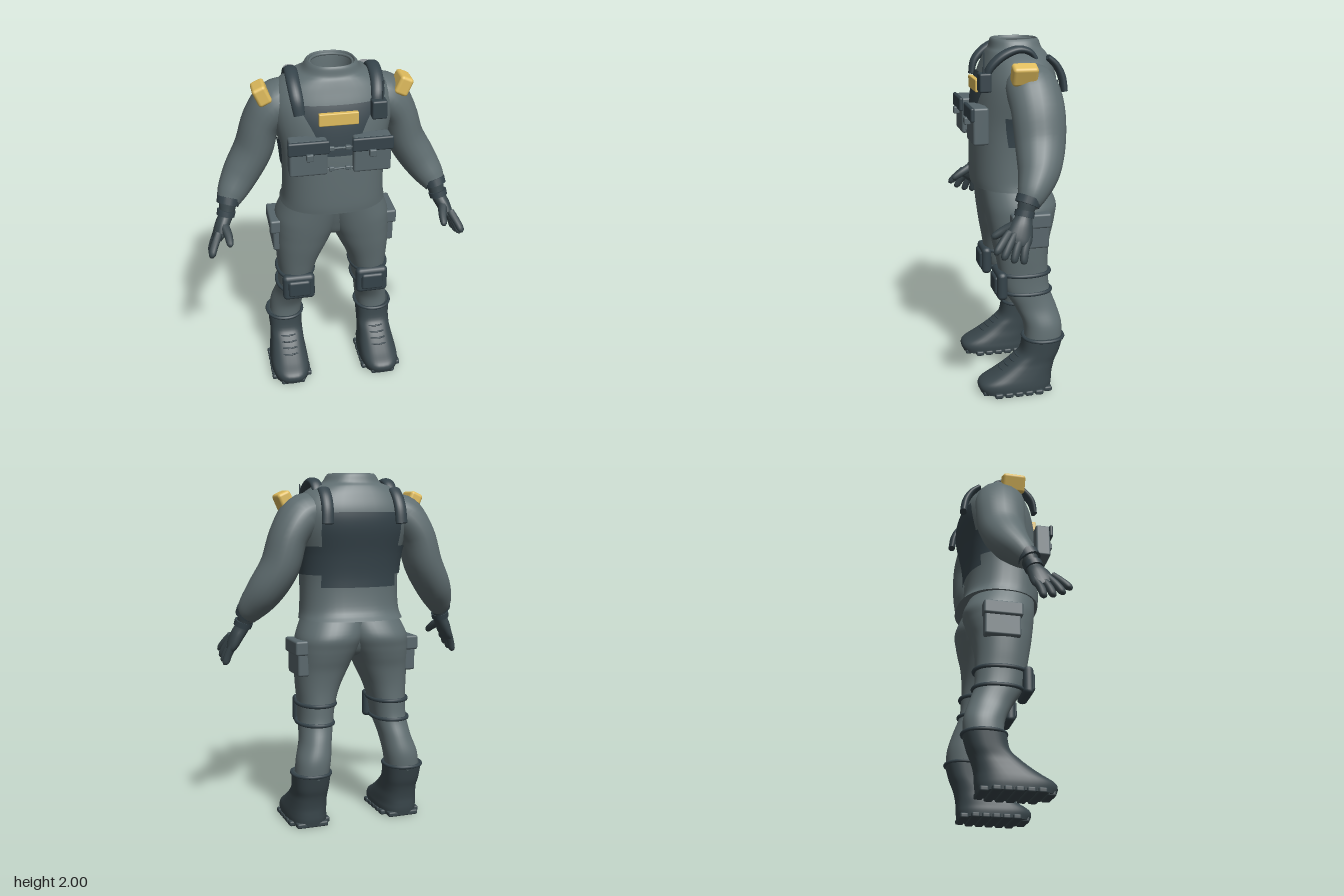
import * as THREE from 'three';
import { RoundedBoxGeometry } from 'three/addons/geometries/RoundedBoxGeometry.js';

const V = (x, y, z) => new THREE.Vector3(x, y, z);
const mat = (name, color) => Object.assign(new THREE.MeshStandardMaterial({ color }), { name });

// Skin a list of rings (arrays of Vector3); capped ends get their own vertices for a crisp edge
function skin(rings, closed = true, caps = true) {
  if (caps) {
    const mid = r => r.map(() => r.reduce((s, p) => s.add(p), V(0, 0, 0)).divideScalar(r.length));
    const a = rings[0], b = rings[rings.length - 1];
    rings = [mid(a), a, ...rings, b, mid(b)];
  }
  const n = rings[0].length, idx = [];
  for (let i = 0; i < rings.length - 1; i++) {
    for (let j = 0; j < (closed ? n : n - 1); j++) {
      const k = (j + 1) % n, a = i * n + j, b = i * n + k, c = a + n, d = b + n;
      idx.push(a, c, b, b, c, d);
    }
  }
  const g = new THREE.BufferGeometry().setFromPoints(rings.flat());
  g.setIndex(idx);
  g.computeVertexNormals();
  return g;
}

// Smoothly interpolate a table of rows at position u
function rowAt(rows, u) {
  const last = rows.length - 1, i = Math.min(Math.floor(u), last - 1), t = u - i;
  const r = k => rows[Math.max(0, Math.min(last, k))];
  return rows[0].map((_, c) => {
    const [p, q, s, w] = [r(i - 1)[c], r(i)[c], r(i + 1)[c], r(i + 2)[c]];
    return 0.5 * (2 * q + (s - p) * t + (2 * p - 5 * q + 4 * s - w) * t * t + (3 * q - 3 * s + w - p) * t ** 3);
  });
}

// Rounded horizontal section from a row [y, xMin, xMax, zMin, zMax]
function sectionPoint([y, x0, x1, z0, z1], angle, e = 0.85) {
  const f = v => Math.sign(v) * Math.abs(v) ** e;
  return V((x0 + x1) / 2 + (x1 - x0) / 2 * f(Math.cos(angle)), y, (z0 + z1) / 2 + (z1 - z0) / 2 * f(Math.sin(angle)));
}

function body(rows, e, steps = 5, sides = 40) {
  const count = (rows.length - 1) * steps, rings = [];
  for (let i = 0; i <= count; i++) {
    const row = rowAt(rows, i / steps);
    rings.push(Array.from({ length: sides }, (_, j) => sectionPoint(row, j / sides * Math.PI * 2, e)));
  }
  return skin(rings);
}

// Thin panel lying on a body between row positions u0 and u1, around a middle angle
function panel(rows, u0, u1, middle, half0, half1) {
  const rings = [];
  for (let i = 0; i <= 16; i++) {
    const v = i / 16, [y, x0, x1, z0, z1] = rowAt(rows, u0 + (u1 - u0) * v), o = 0.009;
    const half = half0 + (half1 - half0) * v;
    rings.push(Array.from({ length: 33 }, (_, j) =>
      sectionPoint([y, x0 - o, x1 + o, z0 - o, z1 + o], middle + half * (j / 16 - 1))));
  }
  return skin(rings, false, false);
}

// Tapered limb through points [x, y, z, radius along ref, radius across]
function limb(pts, ref = V(0, 0, 1), steps = 5, sides = 20) {
  const at = u => rowAt(pts, u), end = pts.length - 1, rings = [];
  for (let i = 0; i <= end * steps; i++) {
    const u = i / steps, p = at(u), c = V(p[0], p[1], p[2]);
    const t = V(...at(Math.min(end, u + 0.05)).slice(0, 3)).sub(V(...at(Math.max(0, u - 0.05)).slice(0, 3))).normalize();
    const a = ref.clone().addScaledVector(t, -ref.dot(t)).normalize(), b = a.clone().cross(t);
    rings.push(Array.from({ length: sides }, (_, j) => {
      const f = j / sides * Math.PI * 2;
      return c.clone().addScaledVector(a, p[3] * Math.cos(f)).addScaledVector(b, p[4] * Math.sin(f));
    }));
  }
  return skin(rings);
}

// Cord loop around a section
function loop(row, r) {
  const pts = Array.from({ length: 16 }, (_, j) => sectionPoint(row, j / 16 * Math.PI * 2, 0.92));
  return new THREE.TubeGeometry(new THREE.CatmullRomCurve3(pts, true), 48, r, 8, true);
}

function box(x0, x1, y0, y1, z0, z1, r = 0.012) {
  return new RoundedBoxGeometry(x1 - x0, y1 - y0, z1 - z0, 2, r).translate((x0 + x1) / 2, (y0 + y1) / 2, (z0 + z1) / 2);
}

function mirrored(geo) {
  const g = geo.clone().applyMatrix4(new THREE.Matrix4().makeScale(-1, 1, 1));
  const idx = g.index ? Array.from(g.index.array) : Array.from({ length: g.attributes.position.count }, (_, i) => i);
  for (let i = 0; i < idx.length; i += 3) [idx[i], idx[i + 1]] = [idx[i + 1], idx[i]];
  g.setIndex(idx);
  return g;
}

export function createModel() {
  const model = new THREE.Group();
  const suit = mat('suit cloth', 0x606e71), dark = mat('boot and glove rubber', 0x3a474c);
  const web = mat('dark webbing', 0x35434a), pouch = mat('pouch cloth', 0x58666b), yellow = mat('yellow patch', 0xe0bd5e);
  const add = (name, geo, m) => {
    const mesh = new THREE.Mesh(geo, m);
    mesh.name = name;
    model.add(mesh);
  };
  const both = (name, geo, m) => {
    add('left ' + name, geo, m);
    add('right ' + name, mirrored(geo), m);
  };

  // Jacket, ending in an open collar that turns inward
  const torso = [
    [1.19, -.3, .3, -.26, .215], [1.25, -.288, .288, -.22, .22], [1.4, -.285, .285, -.205, .22],
    [1.55, -.297, .297, -.22, .215], [1.7, -.33, .33, -.25, .195], [1.8, -.335, .335, -.25, .17],
    [1.88, -.295, .295, -.225, .14], [1.93, -.225, .225, -.2, .12], [1.955, -.165, .165, -.18, .108],
    [1.995, -.135, .135, -.165, .1], [1.99, -.118, .118, -.152, .088], [1.85, -.1, .1, -.14, .07]];
  add('jacket', body(torso), suit);
  add('collar ring', loop([1.985, -.115, .115, -.15, .085], .008), suit);

  // Vest panels
  add('back vest panel', panel(torso, 1.85, 4.9, -Math.PI / 2, .8, .66), web);
  add('front vest panel', panel(torso, 3, 5.25, Math.PI / 2, .2, .58), web);
  both('side vest panel', panel(torso, 2.3, 3.35, -.4, .6, .75), web);

  // Arms and cuffs
  both('sleeve', limb([
    [.2, 1.81, -.06, .12, .09], [.3, 1.77, -.06, .142, .118], [.382, 1.66, -.075, .145, .106],
    [.432, 1.5, -.075, .137, .108], [.507, 1.37, -.05, .115, .103], [.572, 1.27, 0, .082, .083],
    [.6, 1.215, .035, .058, .058]]), suit);
  both('cuff strap', limb([[.592, 1.25, .022, .068, .066], [.603, 1.215, .038, .066, .062]]), web);
  both('wrist strap', limb([[.611, 1.185, .05, .052, .053], [.619, 1.155, .058, .052, .051]]), web);

  // Gloves
  both('glove', limb([
    [.6, 1.22, .035, .05, .05], [.615, 1.16, .055, .044, .04], [.642, 1.11, .075, .06, .039],
    [.668, 1.055, .095, .07, .032], [.68, 1.03, .11, .057, .024]]), dark);
  [[.045, .08, .935], [.08, .13, .945], [.115, .18, .965], [.145, .218, .995]].forEach(([z, tip, y], i) => {
    const base = 1.045 + i * .01;
    both('finger ' + (i + 1), limb([
      [.666, base + .02, z, .02, .022], [.697, (base + y) / 2 + .01, (z + tip) / 2 + .008, .022, .022],
      [.713, y + .015, tip, .02, .02], [.714, y, tip + .002, .01, .01]], V(0, 0, 1), 4, 10), dark);
  });
  both('thumb', limb([[.635, 1.12, .1, .028, .028], [.617, 1.09, .16, .024, .024], [.612, 1.06, .21, .019, .019],
    [.612, 1.05, .225, .009, .009]], V(1, 0, 0), 4, 10), dark);

  // Trousers: a filler between the legs, and legs meeting at the middle
  add('trouser seat', body([[.97, -.03, .03, -.08, .05], [1, -.09, .09, -.15, .1], [1.08, -.13, .13, -.185, .132],
    [1.16, -.2, .2, -.19, .155], [1.23, -.26, .26, -.19, .175]]), suit);
  both('trouser leg', body([
    [.3, .185, .375, -.25, -.035], [.4, .17, .365, -.252, -.03], [.5, .155, .335, -.225, .015],
    [.6, .132, .325, -.19, .075], [.7, .115, .323, -.182, .1], [.8, .083, .33, -.182, .118],
    [.9, .035, .335, -.195, .138], [.97, .002, .335, -.215, .15], [1.03, -.03, .334, -.23, .16],
    [1.1, -.06, .325, -.24, .17], [1.2, -.09, .283, -.2, .182]], .9), suit);

  // Boots with soles, lugs and laces
  both('boot', body([
    [.01, .168, .397, -.182, .23], [.045, .165, .4, -.188, .243], [.075, .168, .398, -.19, .228],
    [.11, .172, .392, -.192, .165], [.15, .178, .385, -.2, .1], [.19, .18, .38, -.212, .045],
    [.24, .18, .382, -.232, -.008], [.33, .175, .388, -.258, -.025]], .75), dark);
  both('boot top cord', loop([.323, .173, .391, -.258, -.025], .01), web);
  for (let i = 0; i < 7; i++) {
    const z = -.155 + i * .059, inset = i === 6 ? .05 : i === 0 ? .03 : 0;
    both('sole lug ' + (i + 1), box(.16 + inset, .405 - inset, 0, .03, z - .024, z + .024, .01), dark);
  }
  for (let i = 0; i < 4; i++) {
    const y = .14 + i * .024, z = .115 - i * .033;
    both('lace ' + (i + 1), limb([[.235, y, z - .012, .005, .005], [.28, y + .004, z + .002, .005, .005],
      [.325, y, z - .012, .005, .005]], V(0, 1, 0), 4, 8), web);
  }

  // Knee pads and their straps
  both('knee pad', box(.125, .315, .565, .73, .07, .128, .025), web);
  both('knee pad face', box(.155, .285, .595, .7, .1, .142, .015), web);
  both('upper knee strap', loop([.708, .115, .328, -.188, .105], .012), web);
  both('lower knee strap', loop([.598, .13, .332, -.195, .085], .011), web);

  // Thigh pouches
  both('thigh pouch', box(.29, .355, .88, 1.05, -.155, .05), pouch);
  both('thigh pouch flap', box(.295, .37, 1, 1.082, -.163, .06), pouch);

  // Chest pouches with front flaps, clasps and links
  both('chest pouch', box(.07, .275, 1.46, 1.662, .165, .252), pouch);
  both('chest pouch flap', box(.06, .284, 1.588, 1.665, .245, .268, .01), web);
  both('pouch clasp', box(.15, .188, 1.56, 1.6, .25, .285, .006), pouch);
  [1.48, 1.6].forEach((y, i) => {
    add('pouch link ' + (i + 1), box(-.08, .08, y - .005, y + .005, .215, .23, .004), pouch);
    both('link buckle ' + (i + 1), box(.03, .06, y - .012, y + .012, .212, .234, .005), pouch);
  });

  // Shoulder straps, sunk into the jacket at the top
  both('front shoulder strap', limb([
    [.205, 1.78, .172, .03, .016], [.215, 1.86, .15, .035, .022], [.222, 1.925, .085, .036, .025],
    [.222, 1.96, 0, .036, .022], [.22, 1.945, -.07, .034, .018], [.218, 1.89, -.11, .03, .015]], V(1, 0, 0)), web);
  both('back shoulder strap', limb([
    [.208, 1.915, -.17, .034, .018], [.21, 1.875, -.216, .034, .02], [.212, 1.81, -.25, .034, .022],
    [.215, 1.73, -.264, .034, .02]], V(1, 0, 0)), web);

  // Yellow shoulder tabs and chest plate
  const tab = new RoundedBoxGeometry(.078, .106, .135, 3, .018).rotateZ(-.42).translate(.384, 1.85, 0);
  both('shoulder tab', tab, yellow);
  add('chest plate', box(-.108, .105, 1.72, 1.79, .18, .207, .006), yellow);

  // Radio with antenna
  add('radio', box(.175, .257, 1.74, 1.842, .145, .212, .01), web);
  add('radio antenna', new THREE.CylinderGeometry(.004, .006, .12, 8).translate(.235, 1.89, .185), web);
  return model;
}
